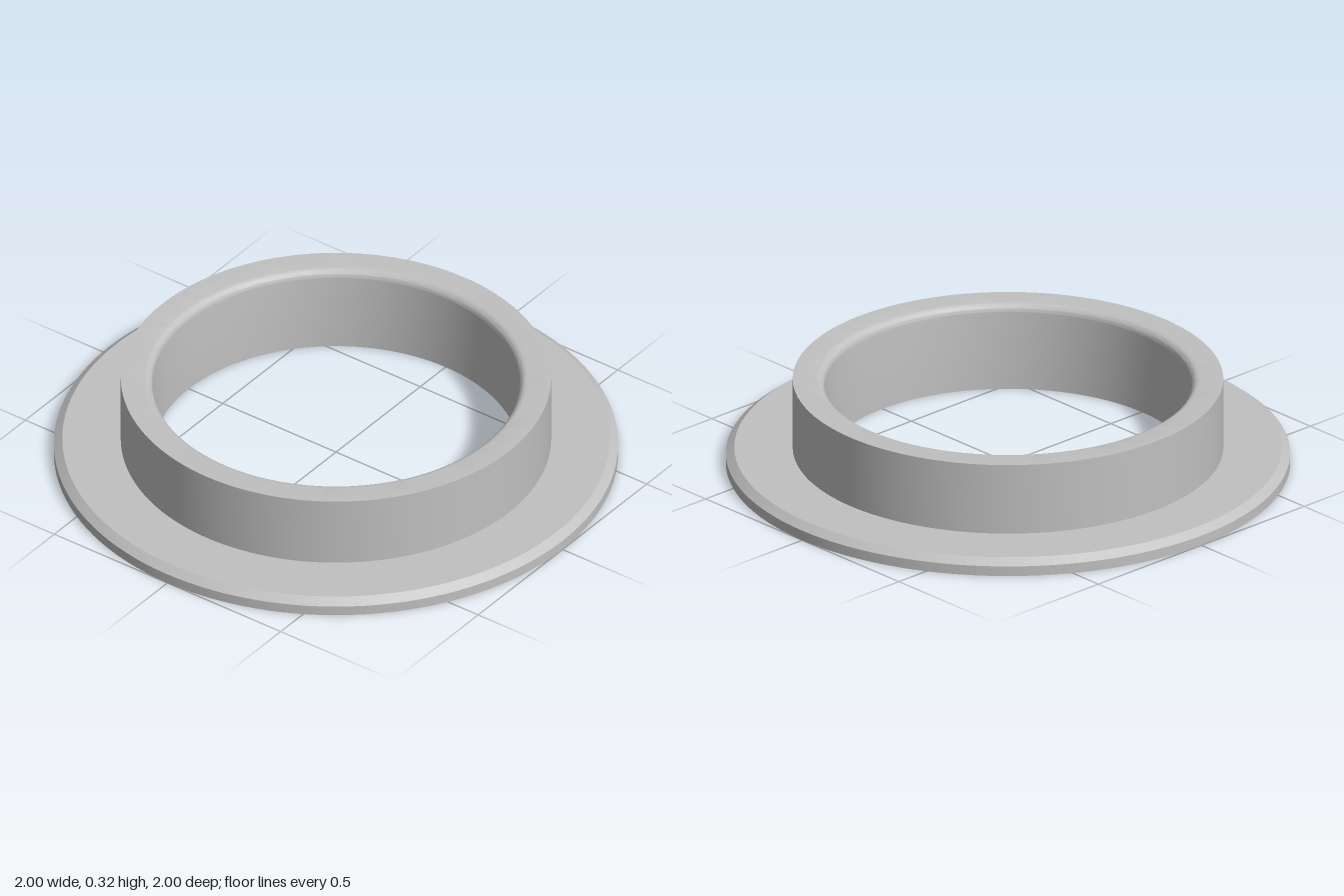
import * as THREE from 'three';
import { toCreasedNormals } from 'three/addons/utils/BufferGeometryUtils.js';

const BORE = 0.65, COLLAR = 0.763, TOP = 0.325, FLANGE_TOP = 0.06, ROUND = 0.03;

export function createModel() {
  const group = new THREE.Group();
  group.name = 'flangedBushing';
  const metal = new THREE.MeshStandardMaterial({ color: 0xc0c0c0 });
  metal.name = 'grey metal';

  // Revolve a profile of [radius, height] points, keeping its corners sharp
  const revolve = (name, profile) => {
    const points = profile.map(([r, y]) => new THREE.Vector2(r, y));
    const geometry = toCreasedNormals(new THREE.LatheGeometry(points, 128), Math.PI / 6);
    const mesh = new THREE.Mesh(geometry, metal);
    mesh.name = name;
    group.add(mesh);
  };

  // Flat flange with a chamfered upper rim
  revolve('flange', [[BORE, 0], [1, 0], [1, 0.037], [0.97, FLANGE_TOP], [COLLAR, FLANGE_TOP]]);

  // Upright collar whose inner top edge rounds into the bore
  const collar = [[COLLAR, FLANGE_TOP], [COLLAR, TOP]];
  for (let i = 0; i <= 8; i++) {
    const a = Math.PI / 2 * (i / 8);
    collar.push([BORE + ROUND - ROUND * Math.sin(a), TOP - ROUND + ROUND * Math.cos(a)]);
  }
  collar.push([BORE, 0]);
  revolve('collar', collar);

  return group;
}
